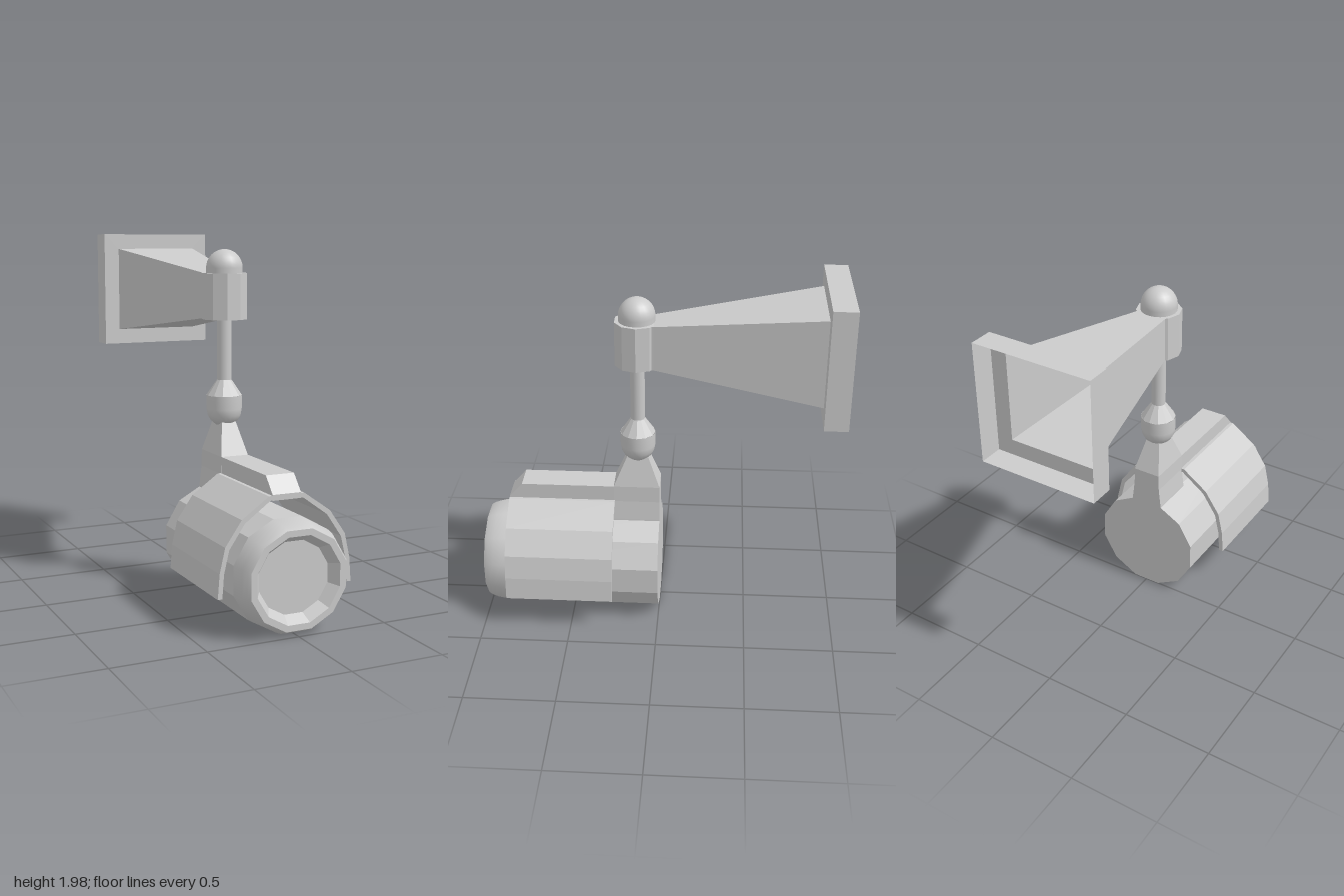
import * as THREE from 'three';

const flat = new THREE.MeshStandardMaterial({ color: 0xcccccc, flatShading: true, side: THREE.DoubleSide });
const smooth = new THREE.MeshStandardMaterial({ color: 0xcccccc, side: THREE.DoubleSide });

// Skin through rectangular sections; each section is four [x, y, z] corners
function loft(sections, capped) {
  const pos = sections.flat(2), index = [];
  for (let s = 0; s < sections.length - 1; s++) {
    for (let i = 0; i < 4; i++) {
      const a = s * 4 + i, b = s * 4 + (i + 1) % 4;
      index.push(a, b, b + 4, a, b + 4, a + 4);
    }
  }
  if (capped) {
    const e = (sections.length - 1) * 4;
    index.push(0, 2, 1, 0, 3, 2, e, e + 1, e + 2, e, e + 2, e + 3);
  }
  const g = new THREE.BufferGeometry();
  g.setAttribute('position', new THREE.Float32BufferAttribute(pos, 3));
  g.setIndex(index);
  const out = g.toNonIndexed();
  out.computeVertexNormals();
  return out;
}

const lathe = (pts, sides, start = 0) =>
  new THREE.LatheGeometry(pts.map(p => new THREE.Vector2(...p)), sides, start);

export function createModel() {
  const group = new THREE.Group();
  const add = (name, geometry, material = flat) => {
    const mesh = new THREE.Mesh(geometry, material);
    mesh.name = name;
    group.add(mesh);
    return mesh;
  };
  const poleZ = 0.125;

  // Wall plate and hollow tapering arm, open at the back
  const armY = 1.647;
  const wallRect = ([hx, hy, z]) =>
    [[hx, armY - hy, z], [hx, armY + hy, z], [-hx, armY + hy, z], [-hx, armY - hy, z]];
  add('wallPlate', loft([[0.335, 0.333, -1], [0.335, 0.333, -0.87], [0.245, 0.245, -0.87]].map(wallRect)));
  add('wallArm', loft([[0.245, 0.245, -0.87], [0.09, 0.125, 0.03], [0.085, 0.125, 0.07]].map(wallRect)));

  // Ten-sided collar at the end of the arm, with a domed cap
  const collar = add('collar', new THREE.CylinderGeometry(0.125, 0.125, 0.25, 10, 1, false, Math.PI / 2));
  collar.position.set(0, armY, poleZ);
  const dome = add('collarDome', new THREE.SphereGeometry(0.1, 20, 8, 0, Math.PI * 2, 0, Math.PI / 2), smooth);
  dome.position.set(0, 1.8, poleZ);
  const domeBase = add('domeBase', new THREE.CylinderGeometry(0.1, 0.1, 0.05, 20, 1, true), smooth);
  domeBase.position.set(0, 1.775, poleZ);

  // Hanging rod and swivel joint
  const rod = add('hangingRod', new THREE.CylinderGeometry(0.04, 0.04, 0.36, 12), smooth);
  rod.position.set(0, 1.35, poleZ);
  const joint = add('swivelBall', lathe(
    [[0, 0.935], [0.045, 0.94], [0.075, 0.965], [0.092, 0.995], [0.098, 1.03], [0.098, 1.105]], 20), smooth);
  joint.position.z = poleZ;
  const cone = add('swivelCone', lathe([[0.098, 1.105], [0.04, 1.19], [0, 1.19]], 12));
  cone.position.z = poleZ;

  // Neck between the joint and the body: [half width, y, back z, front z]
  const neck = [[0.1, 0.5, 0, 0.26], [0.095, 0.58, 0, 0.26], [0.082, 0.69, 0, 0.26],
    [0.08, 0.785, 0, 0.26], [0.042, 0.96, 0.065, 0.185]];
  add('neck', loft(neck.map(([w, y, z0, z1]) => [[-w, y, z0], [-w, y, z1], [w, y, z1], [w, y, z0]]), true));

  // Twelve-sided body, rounded front lip and recessed lens
  const bodyParts = [
    ['body', [[0, 0], [0.31, 0], [0.31, 0.87]], flat],
    ['frontLip', [[0.31, 0.87], [0.307, 0.905], [0.3, 0.945], [0.288, 0.98], [0.275, 1]], smooth],
    ['lensRim', [[0.275, 1], [0.24, 1], [0.2, 0.94]], flat],
    ['lens', [[0.2, 0.94], [0, 0.94]], flat],
  ];
  for (const [name, pts, material] of bodyParts) {
    const g = lathe(pts, 12, Math.PI / 12);
    g.rotateX(Math.PI / 2);
    g.scale(1, 0.967, 1);
    add(name, g, material).position.y = 0.29;
  }

  // Arched sun hood around the upper body
  const half = [[0.38, 0.2], [0.37, 0.33], [0.34, 0.46], [0.25, 0.59], [0.1, 0.695]];
  const inner = [[0.355, 0.2], [0.346, 0.325], [0.318, 0.445], [0.233, 0.57], [0.092, 0.672]];
  const mirror = pts => pts.map(([x, y]) => [-x, y]).reverse();
  const outline = [...half, ...mirror(half), ...mirror(inner).reverse(), ...inner.slice().reverse()];
  const hoodShape = new THREE.Shape(outline.map(p => new THREE.Vector2(...p)));
  const hood = add('sunHood', new THREE.ExtrudeGeometry(hoodShape, { depth: 0.605, bevelEnabled: false }));
  hood.position.z = 0.255;

  // Rail along the top of the hood with a sloped front end
  const railShape = new THREE.Shape([[-0.86, 0.67], [-0.86, 0.7], [-0.785, 0.785], [-0.2, 0.785], [-0.2, 0.67]]
    .map(p => new THREE.Vector2(...p)));
  const rail = new THREE.ExtrudeGeometry(railShape, { depth: 0.16, bevelEnabled: false });
  rail.translate(0, 0, -0.08);
  rail.rotateY(Math.PI / 2);
  add('topRail', rail);

  return group;
}
